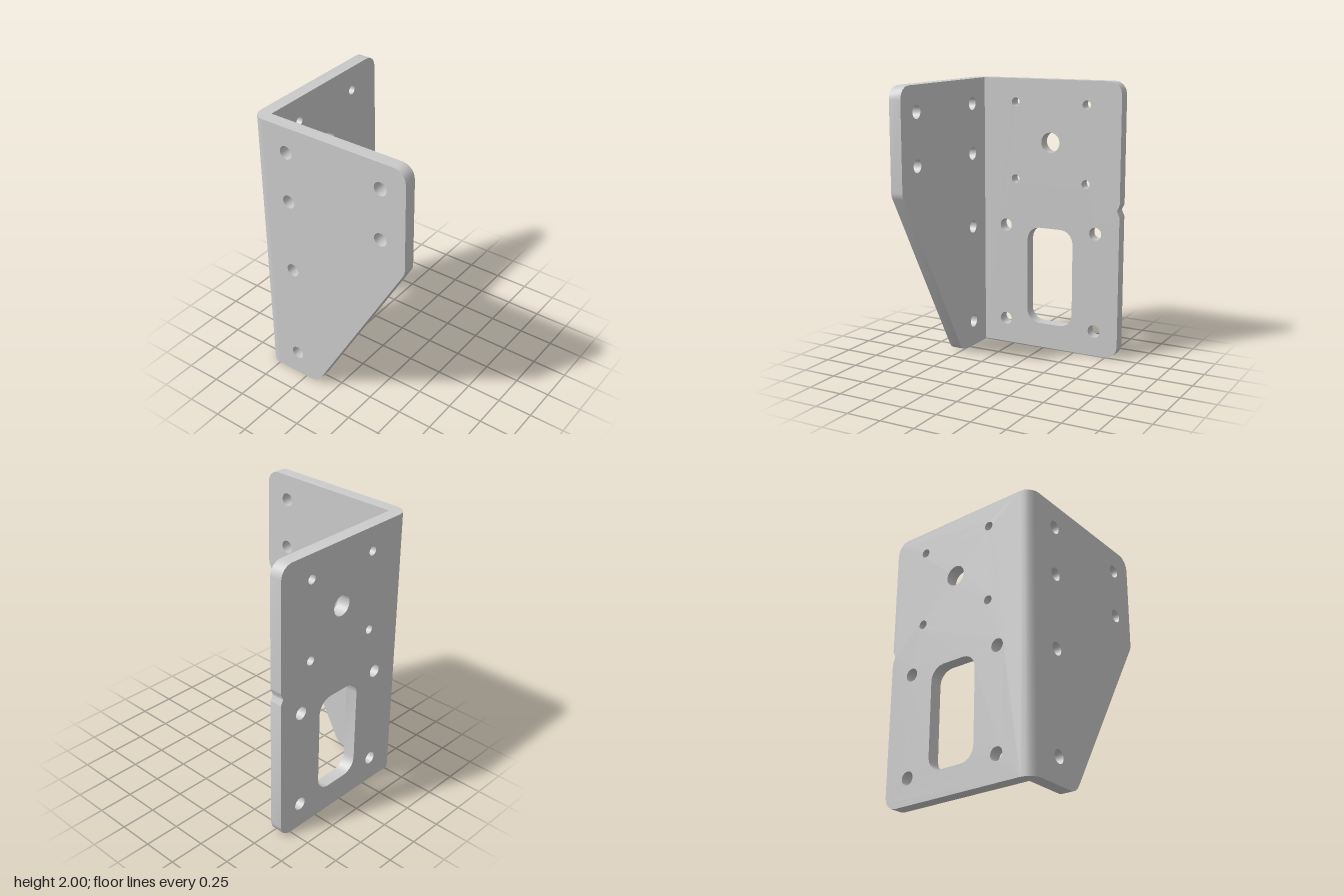
import * as THREE from 'three';
import { toCreasedNormals } from 'three/addons/utils/BufferGeometryUtils.js';

const T = 0.09;        // sheet thickness, also the bend radius
const BEND = -0.5;     // plate edge that meets the bend
const END = 0.59;      // free edge of both plates
const HEIGHT = 2;

// Polygon with filleted corners; each corner is [x, y, radius]
function rounded(corners, segments = 4) {
  const points = [];
  corners.forEach(([x, y, r = 0], i) => {
    const p = new THREE.Vector2(x, y);
    if (!r) return points.push(p);
    const n = corners.length;
    const prev = corners[(i + n - 1) % n], next = corners[(i + 1) % n];
    const a = new THREE.Vector2(prev[0], prev[1]).sub(p).normalize();
    const b = new THREE.Vector2(next[0], next[1]).sub(p).normalize();
    const half = Math.acos(a.dot(b)) / 2;
    const tangent = r / Math.tan(half);
    const centre = a.clone().add(b).normalize().multiplyScalar(r / Math.sin(half)).add(p);
    const start = a.multiplyScalar(tangent).add(p).sub(centre).angle();
    const end = b.multiplyScalar(tangent).add(p).sub(centre).angle();
    const sweep = Math.atan2(Math.sin(end - start), Math.cos(end - start));
    for (let k = 0; k <= segments; k++) {
      const t = start + sweep * k / segments;
      points.push(new THREE.Vector2(centre.x + r * Math.cos(t), centre.y + r * Math.sin(t)));
    }
  });
  return points;
}

function circle(x, y, r, sides = 20) {
  return Array.from({ length: sides }, (_, i) => {
    const t = i / sides * Math.PI * 2;
    return new THREE.Vector2(x + r * Math.cos(t), y + r * Math.sin(t));
  });
}

// Circles of one radius at every crossing of the given columns and rows
const holeGrid = (xs, ys, r) => xs.flatMap(x => ys.map(y => circle(x, y, r)));

// Extruded plate, left open along the bend edge so the bend joins it cleanly
function plateGeometry(outline, holes) {
  const shape = new THREE.Shape(outline);
  shape.holes = holes.map(h => new THREE.Path(h));
  const source = new THREE.ExtrudeGeometry(shape, { depth: T, bevelEnabled: false }).toNonIndexed();
  const pos = source.getAttribute('position');
  const kept = [];
  for (let i = 0; i < pos.count; i += 3) {
    const corners = [i, i + 1, i + 2];
    if (corners.every(j => Math.abs(pos.getX(j) - BEND) < 1e-4)) continue;
    corners.forEach(j => kept.push(pos.getX(j), pos.getY(j), pos.getZ(j)));
  }
  const geometry = new THREE.BufferGeometry();
  geometry.setAttribute('position', new THREE.Float32BufferAttribute(kept, 3));
  return toCreasedNormals(geometry, 0.6);
}

export function createModel() {
  const group = new THREE.Group();
  group.name = 'angleBracket';
  const material = new THREE.MeshStandardMaterial({ color: 0xcccccc });
  const add = (name, geometry) => {
    const mesh = new THREE.Mesh(geometry, material);
    mesh.name = name;
    group.add(mesh);
  };

  // Front plate with a slanted lower edge
  const front = plateGeometry(
    rounded([[BEND, 0], [-0.146, 0, 0.1], [END, 1.275, 0.09], [END, HEIGHT, 0.09], [BEND, HEIGHT]]),
    [
      ...holeGrid([-0.32], [0.185, 0.912, 1.457, 1.82], 0.047),
      ...holeGrid([0.406], [1.457, 1.82], 0.047),
    ]
  );
  front.translate(0, 0, END - T);
  add('frontPlate', front);

  // Side plate with a small notch in its rear edge, laid out along -z
  const side = plateGeometry(
    rounded([
      [BEND, 0], [END, 0, 0.09],
      [END, 1.05, 0.03], [END - 0.02, 1.093, 0.015], [END, 1.136, 0.03],
      [END, HEIGHT, 0.09], [BEND, HEIGHT],
    ]),
    [
      ...holeGrid([-0.32, 0.406], [0.185, 0.912], 0.047),
      ...holeGrid([-0.24, 0.325], [1.265, 1.83], 0.032),
      circle(0.043, 1.548, 0.073),
      rounded([[-0.14, 0.185, 0.1], [0.228, 0.185, 0.1], [0.228, 0.915, 0.1], [-0.14, 0.915, 0.1]], 5),
    ]
  );
  side.rotateY(Math.PI / 2).translate(-END, 0, 0);
  add('sidePlate', side);

  // Rounded bend joining the two plates
  const bend = new THREE.CylinderGeometry(T, T, HEIGHT, 4, 1, false, -Math.PI / 2, Math.PI / 2);
  bend.translate(BEND, HEIGHT / 2, -BEND);
  add('bend', bend);

  return group;
}
